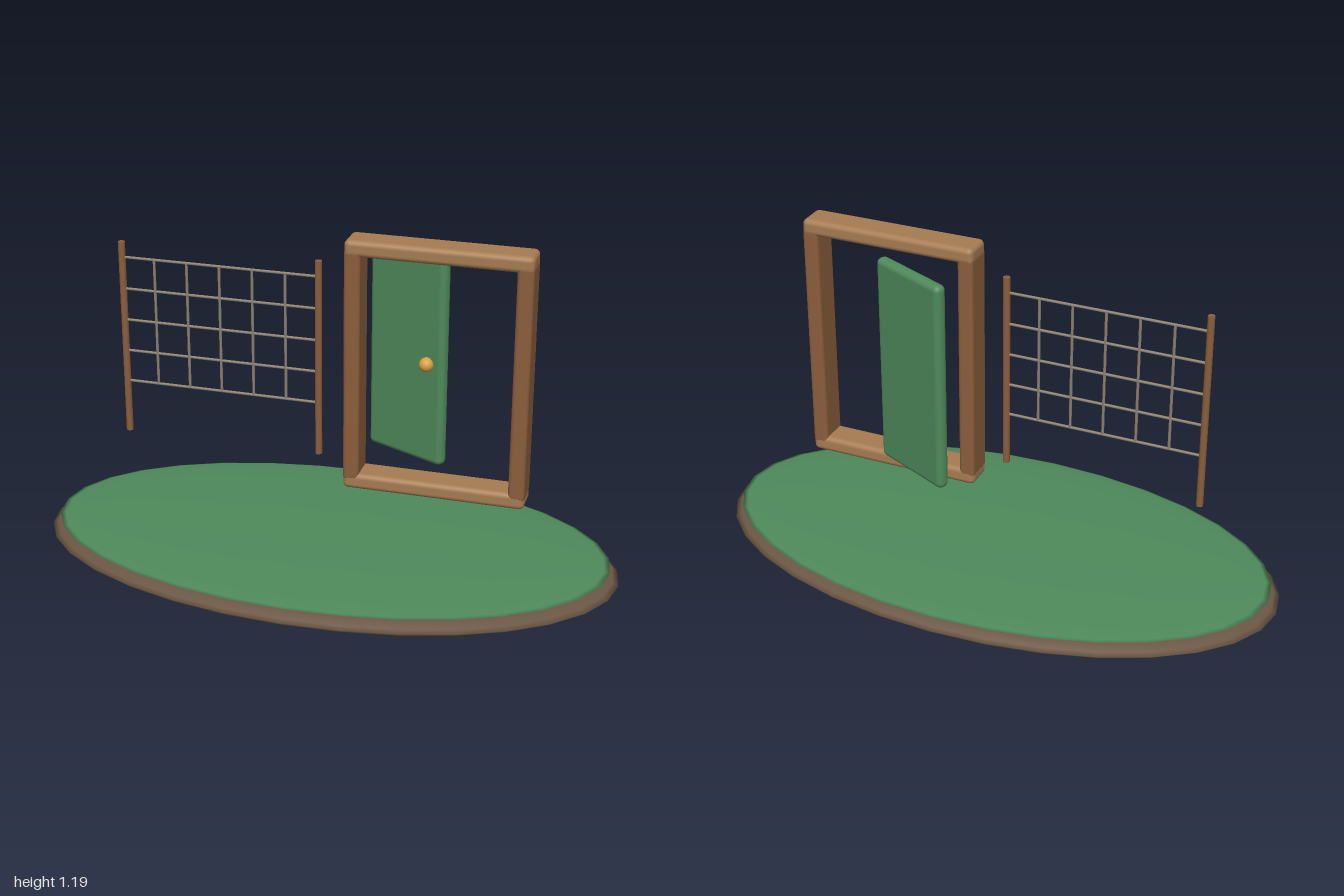
import * as THREE from 'three';
import { RoundedBoxGeometry } from 'three/addons/geometries/RoundedBoxGeometry.js';

const mat = (color) => new THREE.MeshStandardMaterial({ color });
const soil = mat(0x6b5644), green = mat(0x4f8a5b), darkWood = mat(0x8b5e3c);
const lightWood = mat(0xa67c52), rope = mat(0x8a8070), brass = mat(0xd9a03f);

function add(parent, name, geometry, material, x, y, z) {
  const mesh = new THREE.Mesh(geometry, material);
  mesh.name = name;
  mesh.position.set(x, y, z);
  parent.add(mesh);
  return mesh;
}

function group(parent, name) {
  const g = new THREE.Group();
  g.name = name;
  parent.add(g);
  return g;
}

export function createModel() {
  const model = new THREE.Group();

  // Floating island: two flattened spheres
  const island = group(model, 'island');
  const disc = new THREE.SphereGeometry(1, 32, 16);
  add(island, 'soil', disc, soil, 0, 0.06, 0).scale.set(1, 0.06, 0.545);
  add(island, 'grass', disc, green, 0, 0.103, 0).scale.set(0.97, 0.02, 0.527);

  // Door frame: two posts capped by two beams
  const frame = group(model, 'doorFrame');
  for (const x of [0.092, 0.653]) {
    add(frame, 'framePost', new RoundedBoxGeometry(0.055, 0.81, 0.108, 3, 0.014), darkWood, x, 0.752, 0);
  }
  for (const y of [0.345, 1.162]) {
    add(frame, 'frameBeam', new RoundedBoxGeometry(0.615, 0.056, 0.108, 3, 0.018), lightWood, 0.3725, y, 0);
  }

  // Door swung open behind the frame
  const door = group(model, 'door');
  door.position.set(0.24, 0.754, -0.14);
  door.rotation.y = -THREE.MathUtils.degToRad(25);
  add(door, 'doorPanel', new RoundedBoxGeometry(0.312, 0.74, 0.045, 4, 0.02), green, 0, 0, 0);
  add(door, 'doorKnob', new THREE.SphereGeometry(0.025, 16, 12), brass, 0.097, -0.01, 0.03);

  // Net hung between two thin poles
  const net = group(model, 'net');
  const left = -0.717, right = -0.033, low = 0.595, high = 1.04;
  for (const x of [left, right]) {
    add(net, 'netPole', new THREE.CylinderGeometry(0.012, 0.012, 0.685, 12), darkWood, x, 0.752, 0);
  }
  const across = new THREE.CylinderGeometry(0.005, 0.005, right - left, 8).rotateZ(Math.PI / 2);
  const upright = new THREE.CylinderGeometry(0.005, 0.005, high - low, 8);
  for (let i = 0; i <= 4; i++) {
    add(net, 'netRow', across, rope, (left + right) / 2, low + (high - low) * i / 4, 0);
  }
  for (let i = 1; i <= 5; i++) {
    add(net, 'netColumn', upright, rope, left + (right - left) * i / 6, (low + high) / 2, 0);
  }

  return model;
}
